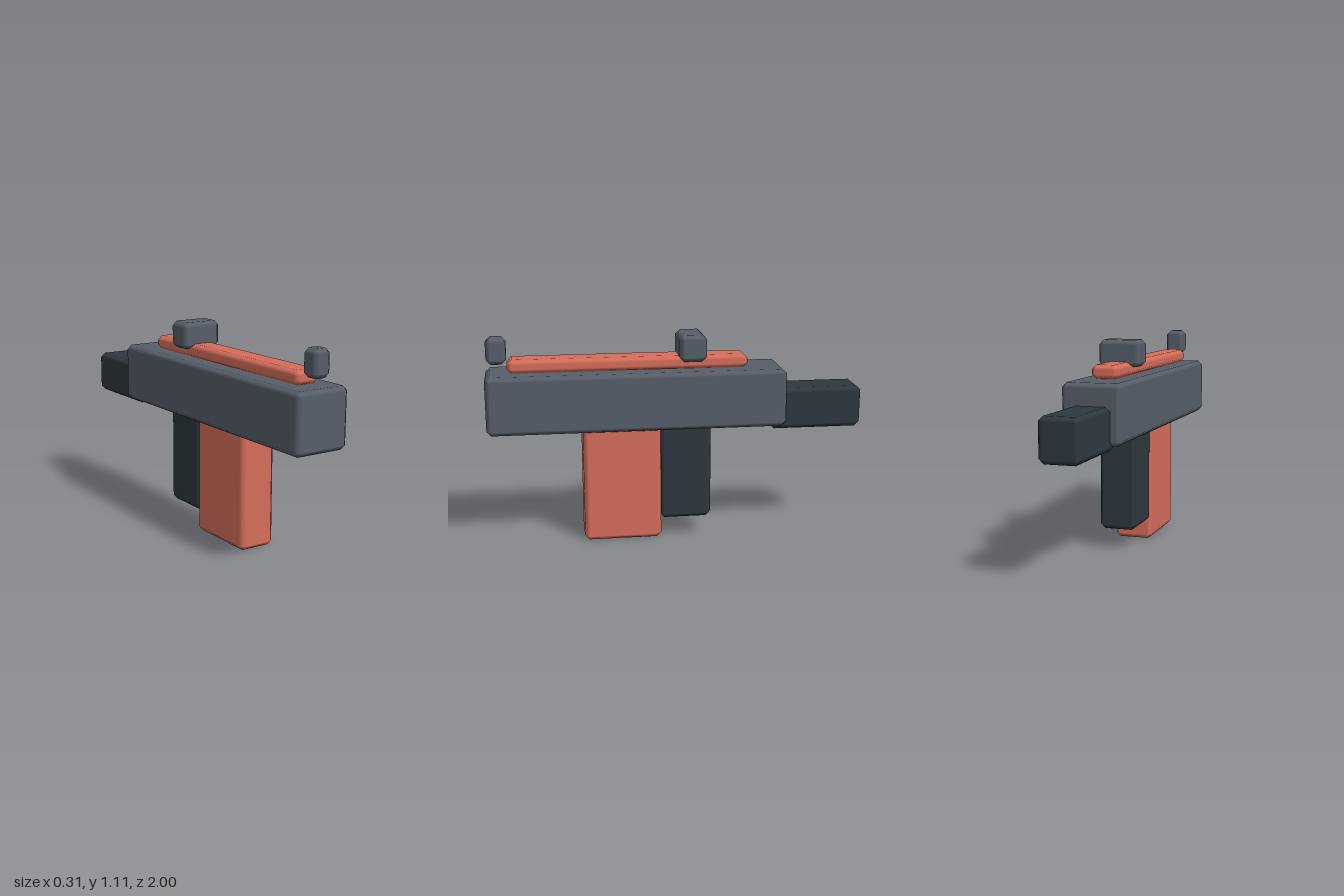
import * as THREE from 'three';

const BEVEL = 0.025;

// Box between two y and two z limits, centred on x = 0, with softly shaded chamfered edges
function chamferBox(halfWidth, y0, y1, z0, z1, bevel = BEVEL) {
  const half = [halfWidth, (y1 - y0) / 2, (z1 - z0) / 2];
  const geometry = new THREE.BoxGeometry(1, 1, 1, 3, 3, 3);
  const position = geometry.attributes.position;
  const normal = new THREE.Vector3();
  for (let i = 0; i < position.count; i++) {
    const c = [position.getX(i), position.getY(i), position.getZ(i)];
    // Outer coordinates: one on a face, two on an edge, three at a corner
    const outer = c.map(v => Math.abs(v) > 0.4);
    const count = outer.filter(Boolean).length;
    const p = c.map((v, k) => Math.sign(v) * (half[k] - bevel + (outer[k] ? bevel / count : 0)));
    position.setXYZ(i, p[0], p[1], p[2]);
    normal.fromArray(c.map((v, k) => (outer[k] ? Math.sign(v) : 0))).normalize();
    geometry.attributes.normal.setXYZ(i, normal.x, normal.y, normal.z);
  }
  geometry.translate(0, (y0 + y1) / 2, (z0 + z1) / 2);
  return geometry;
}

export function createModel() {
  const material = (name, color) => {
    const m = new THREE.MeshStandardMaterial({ color });
    m.name = name;
    return m;
  };
  const grey = material('slate grey', 0x565e69);
  const dark = material('dark grey', 0x2d383f);
  const red = material('coral red', 0xd56d5a);

  // name, material, half width, bottom, top, back, front
  const parts = [
    ['body', grey, 0.155, 0.617, 0.927, -0.58, 1.0],
    ['topRail', red, 0.072, 0.926, 1.0, -0.382, 0.885],
    ['frontSight', grey, 0.052, 0.972, 1.113, 0.886, 0.991],
    ['rearSight', grey, 0.114, 0.972, 1.113, -0.157, -0.012],
    ['rearStock', dark, 0.104, 0.589, 0.813, -1.0, -0.502],
    ['magazine', red, 0.104, 0, 0.64, 0.087, 0.502],
    ['grip', dark, 0.099, 0.107, 0.65, -0.183, 0.095],
  ];

  const model = new THREE.Group();
  model.name = 'toyBlaster';
  for (const [name, mat, ...size] of parts) {
    const mesh = new THREE.Mesh(chamferBox(...size), mat);
    mesh.name = name;
    model.add(mesh);
  }
  return model;
}
